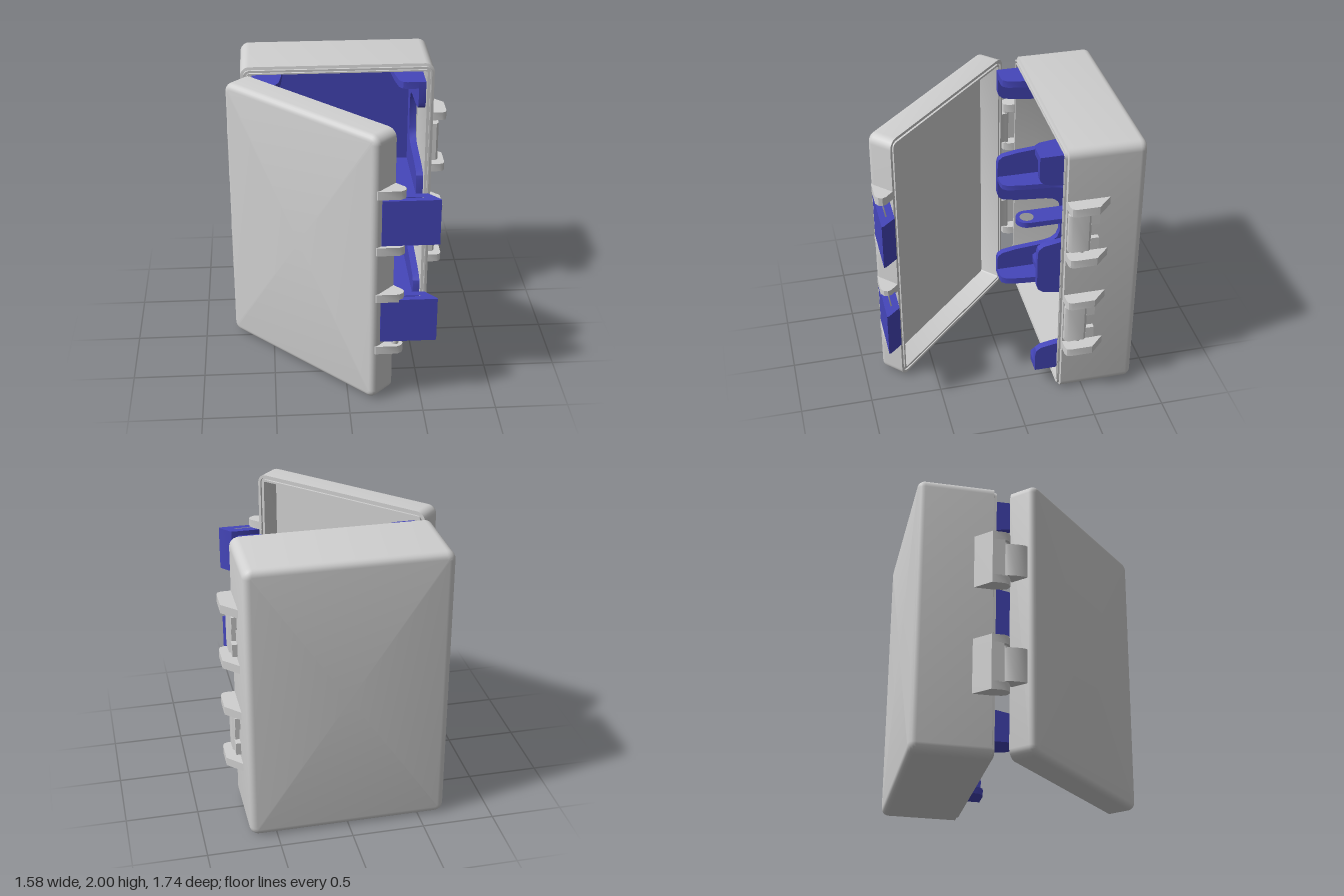
import * as THREE from 'three';
import { toCreasedNormals } from 'three/addons/utils/BufferGeometryUtils.js';

export function createModel() {
  const model = new THREE.Group();
  model.name = 'hingedCase';
  const grey = new THREE.MeshStandardMaterial({ name: 'light grey plastic', color: 0xd0d0d0 });
  const blue = new THREE.MeshStandardMaterial({ name: 'blue plastic', color: 0x4546ba });

  const add = (parent, name, geo, mat) => {
    const mesh = new THREE.Mesh(geo, mat);
    mesh.name = name;
    parent.add(mesh);
    return mesh;
  };
  const toShape = (pts) => new THREE.Shape(pts.map(([a, b]) => new THREE.Vector2(a, b)));
  const extrude = (shape, depth) =>
    new THREE.ExtrudeGeometry(shape, { depth, bevelEnabled: false, curveSegments: 24 });

  // Horizontal slab: outline in (x, z), between two heights
  const slab = (shape, y0, y1) =>
    toCreasedNormals(extrude(shape, y1 - y0).rotateX(Math.PI / 2).translate(0, y1, 0), 0.6);
  // Vertical side slab: outline in (y, z), between two x positions
  const sideBasis = new THREE.Matrix4().makeBasis(
    new THREE.Vector3(0, 1, 0), new THREE.Vector3(0, 0, 1), new THREE.Vector3(1, 0, 0));
  const sideSlab = (shape, x0, x1) =>
    toCreasedNormals(extrude(shape, x1 - x0).applyMatrix4(sideBasis).translate(x0, 0, 0), 0.6);
  const pin = (x, z, r, y0, y1) =>
    new THREE.CylinderGeometry(r, r, y1 - y0, 20).translate(x, (y0 + y1) / 2, z);

  // Open tray lofted through rounded rectangles; profile is [inset, z], null inset = centre
  const HW = 0.685, HH = 1, CORNER = 0.065, STEPS = 6;
  function ring([inset, z]) {
    const pts = [];
    const r = Math.max(CORNER - (inset ?? 0), 0.015);
    for (let c = 0; c < 4; c++) {
      const sx = c === 0 || c === 3 ? 1 : -1, sy = c < 2 ? 1 : -1;
      for (let i = 0; i <= STEPS; i++) {
        const a = (c + i / STEPS) * Math.PI / 2;
        if (inset === null) pts.push([0, 0, z]);
        else pts.push([sx * (HW - inset - r) + r * Math.cos(a), sy * (HH - inset - r) + r * Math.sin(a), z]);
      }
    }
    return pts;
  }
  function tray(profile) {
    const rings = profile.map(ring), n = rings[0].length, index = [];
    for (let j = 0; j < rings.length - 1; j++) {
      for (let i = 0; i < n; i++) {
        const a = j * n + i, b = j * n + (i + 1) % n;
        index.push(a, b, b + n, a, b + n, a + n);
      }
    }
    const geo = new THREE.BufferGeometry();
    geo.setAttribute('position', new THREE.Float32BufferAttribute(rings.flat(2), 3));
    geo.setIndex(index);
    return toCreasedNormals(geo, 0.6);
  }
  // Rounded back edge of a tray
  const roundEdge = (z, r) => Array.from({ length: 6 }, (_, i) => {
    const a = i / 5 * Math.PI / 2;
    return [r * (1 - Math.sin(a)), z + r * (1 - Math.cos(a))];
  });

  // Case body with a stepped, grooved rim
  add(model, 'caseBody', tray([
    [null, -0.87], ...roundEdge(-0.87, 0.05),
    [0, -0.34], [0.02, -0.335], [0.02, -0.32], [0.03, -0.32], [0.03, -0.335],
    [0.042, -0.335], [0.042, -0.32], [0.052, -0.32], [0.052, -0.825], [null, -0.825],
  ]).translate(0, 1, 0), grey);

  // Lid, swung open by 45 degrees
  const lid = new THREE.Group();
  lid.name = 'lid';
  lid.rotation.y = -Math.PI / 4;
  model.add(lid);
  add(lid, 'lidShell', tray([
    [null, -0.503], ...roundEdge(-0.503, 0.045),
    [0, -0.31], [0.02, -0.31], [0.02, -0.325], [0.035, -0.325], [0.035, -0.31],
    [0.05, -0.31], [0.05, -0.465], [null, -0.465],
  ]).rotateY(Math.PI).scale(1, 0.995, 1).translate(0.0565, 1.002, 0), grey);

  // Hinges
  const hingeEar = toShape([[-0.67, -0.49], [-0.79, -0.37], [-0.79, -0.285], [-0.777, -0.255],
    [-0.745, -0.24], [-0.712, -0.25], [-0.693, -0.285], [-0.69, -0.34], [-0.67, -0.34]]);
  const hingeCover = toShape([[-0.67, -0.49], [-0.79, -0.37], [-0.79, -0.285], [-0.77, -0.285],
    [-0.77, -0.36], [-0.67, -0.45]]);
  const knuckle = toShape([[-0.6, 0.46], [-0.65, 0.44], [-0.69, 0.403], [-0.725, 0.36],
    [-0.732, 0.33], [-0.715, 0.308], [-0.69, 0.305], [-0.66, 0.325], [-0.6, 0.325]]);
  for (const y of [1.385, 0.615]) {
    for (const s of [-1, 1]) {
      add(model, 'hingeEar', slab(hingeEar, y + s * 0.165 - 0.03, y + s * 0.165 + 0.03), grey);
    }
    add(model, 'hingeCover', slab(hingeCover, y - 0.14, y + 0.14), grey);
    add(model, 'hingePin', pin(-0.735, -0.27, 0.022, y - 0.16, y + 0.16), grey);
    add(lid, 'hingeKnuckle', slab(knuckle, y - 0.12, y + 0.12), grey);
  }

  // Catches on the body and latch ears on the lid
  const catchEar = toShape([[0.67, -0.645], [0.785, -0.53], [0.785, -0.375], [0.775, -0.35],
    [0.75, -0.34], [0.67, -0.34]]);
  const catchPlate = toShape([[0.67, -0.5], [0.715, -0.5], [0.732, -0.48], [0.732, -0.37],
    [0.715, -0.345], [0.67, -0.345]]);
  const latchEar = toShape([[0.72, 0.31], [0.815, 0.31], [0.84, 0.32], [0.853, 0.345],
    [0.845, 0.38], [0.74, 0.485], [0.72, 0.485]]);
  for (const y of [1.385, 0.618]) {
    for (const s of [-1, 1]) {
      const e = y + s * 0.205;
      add(model, 'catchEar', slab(catchEar, e - 0.03, e + 0.03), grey);
      add(lid, 'latchEar', slab(latchEar, e - 0.03, e + 0.03), grey);
      add(model, 'catchTab', new THREE.BoxGeometry(0.04, 0.09, 0.06)
        .translate(0.7, y + s * 0.1, -0.525), grey);
    }
    add(model, 'catchPlate', slab(catchPlate, y - 0.145, y + 0.145), grey);
    add(model, 'catchPin', pin(0.71, -0.44, 0.015, y - 0.16, y + 0.16), grey);
    add(lid, 'latchPin', pin(0.8, 0.355, 0.025, y - 0.19, y + 0.19), grey);
  }

  // Latches with a through slot
  const latch = toShape([[0.21, 0.865], [0.59, 0.865], [0.585, 0.85], [0.51, 0.767],
    [0.31, 0.767], [0.275, 0.79], [0.24, 0.83], [0.21, 0.85]]);
  latch.holes.push(toShape([[0.36, 0.814], [0.36, 0.824], [0.48, 0.824], [0.48, 0.814]]));
  for (const y of [1.387, 0.647]) add(model, 'latch', slab(latch, y - 0.163, y + 0.163), blue);

  // Insert: a back plate with walls cut away between forward tabs
  const BACK = -0.82, FRONT = -0.17, W = 0.605;
  // Edge of a tab from its tip down to the shallow strip; s points away from the tab
  const tabEdge = (e, s) => [[-0.075, FRONT], [-0.045, -0.178], [-0.02, -0.21], [0, -0.32],
    [0.02, -0.55], [0.035, -0.61], [0.065, -0.65], [0.12, -0.67]].map(([d, z]) => [e + s * d, z]);
  const tabTop = (e, s) => tabEdge(e, s).reverse();

  add(model, 'insertBack', new THREE.BoxGeometry(2 * W, 1.79, 0.04).translate(0, 1.035, -0.8), blue);

  const sideWall = toShape([[0.14, BACK], [0.14, FRONT], ...tabEdge(0.36, 1),
    ...tabTop(0.825, -1), ...tabEdge(1.245, 1), ...tabTop(1.7, -1), [1.93, FRONT], [1.93, BACK]]);
  add(model, 'insertRightWall', sideSlab(sideWall, -W, -W + 0.05), blue);
  add(model, 'insertLeftWall', sideSlab(sideWall, W - 0.05, W), blue);

  const endOutline = (middle) => toShape([[-W, BACK], [-W, FRONT], ...tabEdge(-0.4, 1), ...middle,
    ...tabTop(0.4, -1), [W, FRONT], [W, BACK]]);
  const endWall = endOutline([]);
  add(model, 'insertBottomWall', slab(endWall, 0.14, 0.19), blue);
  add(model, 'insertTopWall', slab(endWall, 1.88, 1.93), blue);

  // Middle shelf with a ringed tongue
  const tongue = [[-0.14, -0.67], [-0.1, -0.65], [-0.08, -0.6]];
  for (let i = 0; i <= 16; i++) {
    const a = Math.PI * (1 - i / 16);
    tongue.push([0.08 * Math.cos(a), -0.25 + 0.08 * Math.sin(a)]);
  }
  tongue.push([0.08, -0.6], [0.1, -0.65], [0.14, -0.67]);
  const shelf = endOutline(tongue);
  shelf.holes.push(new THREE.Path().absarc(0, -0.25, 0.05, 0, Math.PI * 2, true));
  add(model, 'insertShelf', slab(shelf, 1.015, 1.055), blue);

  return model;
}
